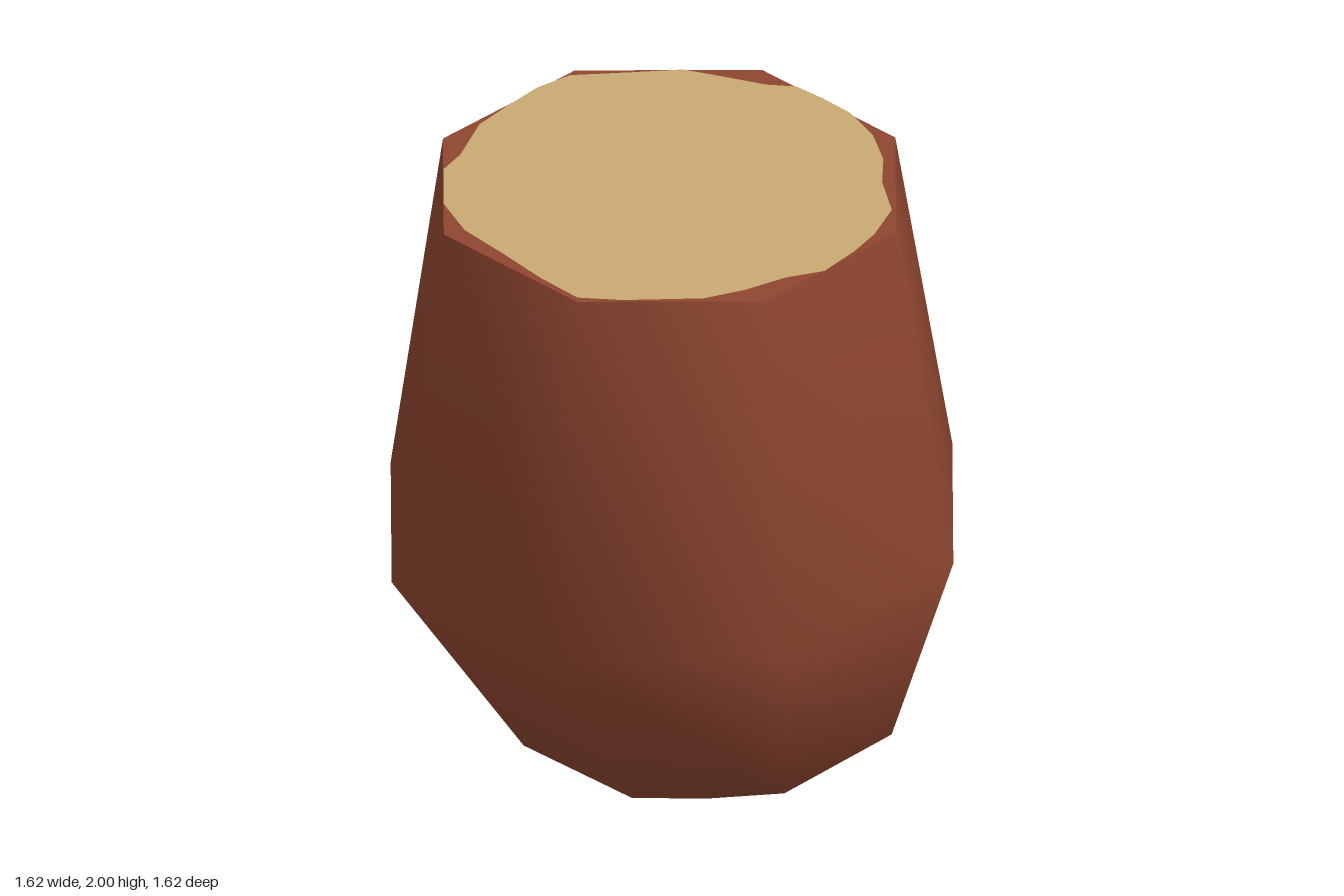
import * as THREE from 'three';

const SIDES = 8;
const TWIST = -0.219;

// One eight-sided ring; slope tilts it along x.
function ring(cx, y, cz, radius, slope) {
  const points = [];
  for (let i = 0; i < SIDES; i++) {
    const a = TWIST + (i / SIDES) * Math.PI * 2;
    const dx = Math.cos(a) * radius;
    points.push(cx + dx, y + slope * dx, cz + Math.sin(a) * radius);
  }
  return points;
}

function geometryFrom(positions, index) {
  const g = new THREE.BufferGeometry();
  g.setAttribute('position', new THREE.Float32BufferAttribute(positions, 3));
  g.setIndex(index);
  g.computeVertexNormals();
  return g;
}

export function createModel() {
  const group = new THREE.Group();
  const bark = new THREE.MeshStandardMaterial({ name: 'red brown', color: 0x8f4630 });
  const cream = new THREE.MeshStandardMaterial({ name: 'pale tan', color: 0xcaa973 });
  const rimY = 1.996;

  // Outer body: three stacked rings closed by an off-centre point below
  const rim = ring(-0.005, rimY, -0.01, 0.67, 0);
  const positions = [
    ...rim,
    ...ring(0, 0.96, 0, 0.832, 0.037),
    ...ring(0.11, 0.312, -0.065, 0.545, 0.033),
    0.11, 0, -0.065,
  ];
  const index = [];
  const tip = SIDES * 3;
  for (let i = 0; i < SIDES; i++) {
    const j = (i + 1) % SIDES;
    for (let r = 0; r < 2; r++) {
      const a = r * SIDES + i, b = r * SIDES + j;
      index.push(a, b, a + SIDES, b, b + SIDES, a + SIDES);
    }
    index.push(2 * SIDES + i, 2 * SIDES + j, tip);
  }
  const body = new THREE.Mesh(geometryFrom(positions, index), bark);
  body.name = 'body';
  group.add(body);

  // Flat top, visible as a ragged border
  const capIndex = [];
  for (let i = 1; i < SIDES - 1; i++) capIndex.push(0, i + 1, i);
  const cap = new THREE.Mesh(geometryFrom(rim, capIndex), bark);
  cap.name = 'topBorder';
  group.add(cap);

  // Irregular pale cut face, outlined as x, z pairs
  const outline = [
    [-0.17, -0.635], [-0.27, -0.585], [-0.36, -0.51], [-0.46, -0.42], [-0.54, -0.27],
    [-0.6, -0.2], [-0.632, -0.02], [-0.6, 0.13], [-0.52, 0.27], [-0.44, 0.42],
    [-0.36, 0.54], [-0.24, 0.575], [-0.02, 0.605], [0.1, 0.58], [0.22, 0.535],
    [0.33, 0.52], [0.43, 0.43], [0.5, 0.35], [0.57, 0.23], [0.57, 0.08],
    [0.595, -0.04], [0.59, -0.17], [0.55, -0.3], [0.49, -0.39], [0.43, -0.465],
    [0.35, -0.49], [0.23, -0.56], [0.14, -0.61], [0, -0.62],
  ].map(([x, z]) => new THREE.Vector2(x, -z));
  const faceGeometry = new THREE.ShapeGeometry(new THREE.Shape(outline));
  faceGeometry.rotateX(-Math.PI / 2);
  const face = new THREE.Mesh(faceGeometry, cream);
  face.name = 'topFace';
  face.position.y = 2;
  group.add(face);

  return group;
}
